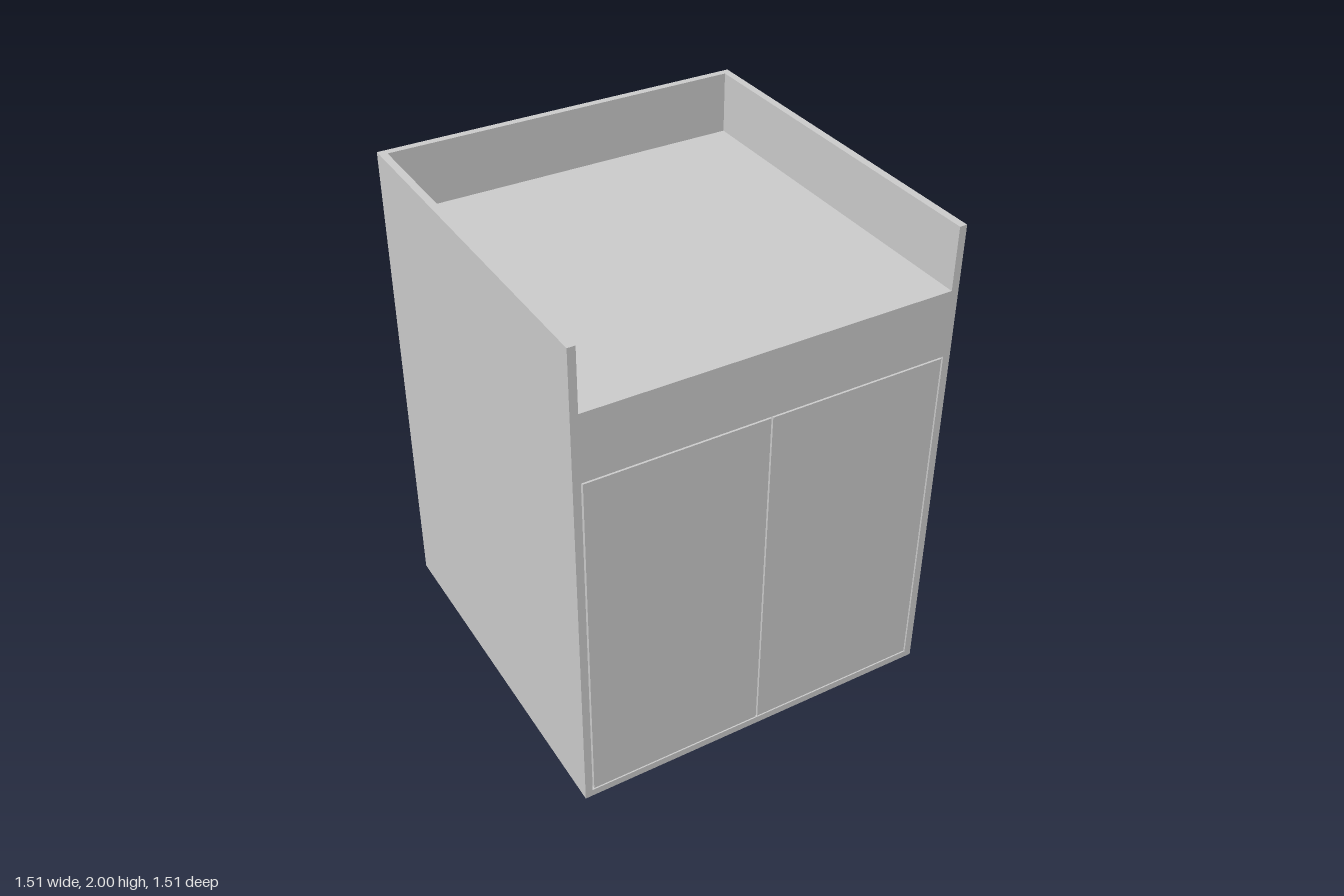
import * as THREE from 'three';

const W = 0.755;      // half width and half depth
const T = 0.03;       // panel thickness
const IN = W - T;     // inner face of the side panels
const GAP = 0.007;    // clearance around the doors

export function createModel() {
  const group = new THREE.Group();
  group.name = 'cabinet';
  const material = new THREE.MeshStandardMaterial({ color: 0xcccccc });

  // Board given by its lower and upper corners
  const board = (name, [x0, y0, z0], [x1, y1, z1]) => {
    const mesh = new THREE.Mesh(new THREE.BoxGeometry(x1 - x0, y1 - y0, z1 - z0), material);
    mesh.position.set((x0 + x1) / 2, (y0 + y1) / 2, (z0 + z1) / 2);
    mesh.name = name;
    group.add(mesh);
  };

  // Carcass: sides and back rise above the worktop
  board('leftSide', [IN, 0, -W], [W, 2, W]);
  board('rightSide', [-W, 0, -W], [-IN, 2, W]);
  board('back', [-IN, 0, -W], [IN, 2, -IN]);
  board('bottom', [-IN, 0, -IN], [IN, T, W]);
  board('worktop', [-IN, 1.75 - T, -IN], [IN, 1.75, W]);
  board('fascia', [-IN, 1.48, IN], [IN, 1.75 - T, W]);

  // Inner shelf behind the doors
  board('shelf', [-IN, 0.72, -IN], [IN, 0.755, IN - 0.01]);

  // Pair of inset doors, flush with the front
  const y0 = T + GAP, y1 = 1.48 - GAP;
  board('leftDoor', [GAP / 2, y0, IN], [IN - GAP, y1, W]);
  board('rightDoor', [-IN + GAP, y0, IN], [-GAP / 2, y1, W]);

  return group;
}
